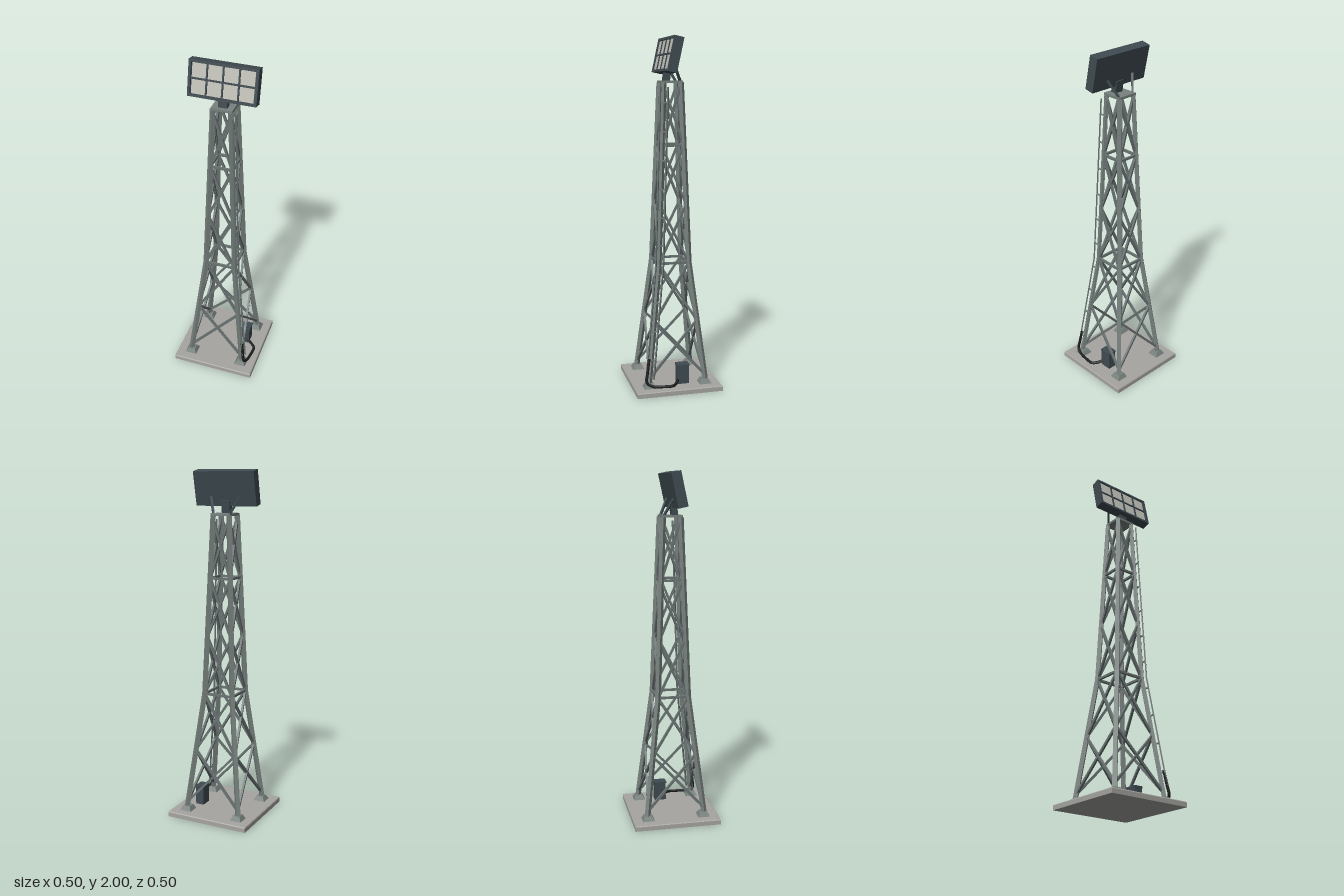
import * as THREE from 'three';

const mat = (name, color, extra = {}) => {
  const m = new THREE.MeshStandardMaterial({ color, ...extra });
  m.name = name;
  return m;
};
const V = (x, y, z) => new THREE.Vector3(x, y, z);

export function createModel() {
  const concrete = mat('concrete', 0xa6a5a1);
  const steel = mat('galvanised steel', 0x78827f);
  const braceSteel = mat('brace steel', 0x6a7373);
  const housing = mat('dark housing', 0x3f4b51);
  const lens = mat('lamp lens', 0xc2c2ba);
  const rubber = mat('black cable', 0x1b1d1e);

  const root = new THREE.Group();
  root.name = 'floodlightTower';

  const add = (name, geo, material, pos, parent = root) => {
    const m = new THREE.Mesh(geo, material);
    m.name = name;
    m.position.copy(pos);
    parent.add(m);
    return m;
  };
  const box = (name, w, h, d, material, pos, parent) =>
    add(name, new THREE.BoxGeometry(w, h, d), material, pos, parent);
  // Square bar running from a to b
  const bar = (name, a, b, w, h, material) => {
    const m = box(name, w, h, a.distanceTo(b), material, a.clone().add(b).multiplyScalar(0.5));
    m.lookAt(b);
    return m;
  };
  // Square block whose top is narrower than its foot
  const frustum = (name, bottom, top, h, material, pos) => {
    const g = new THREE.CylinderGeometry(top * Math.SQRT1_2, bottom * Math.SQRT1_2, h, 4).toNonIndexed();
    g.rotateY(Math.PI / 4);
    g.computeVertexNormals();
    return add(name, g, material, pos);
  };

  // Half width of the tower at height y
  const knee = 0.73, top = 1.75;
  const half = (y) => y < knee
    ? THREE.MathUtils.mapLinear(y, 0.05, knee, 0.167, 0.088)
    : THREE.MathUtils.mapLinear(y, knee, top, 0.088, 0.05);

  // Slab with a chamfered upper edge
  box('baseSlab', 0.5, 0.025, 0.5, concrete, V(0, 0.0125, 0));
  frustum('baseChamfer', 0.5, 0.492, 0.005, concrete, V(0, 0.0275, 0));

  // Footings and bent legs
  for (const sx of [-1, 1]) for (const sz of [-1, 1]) {
    frustum('footing', 0.07, 0.042, 0.026, steel, V(sx * 0.163, 0.043, sz * 0.163));
    const at = (y) => V(sx * half(y), y, sz * half(y));
    bar('lowerLeg', at(0.045), at(knee + 0.004), 0.024, 0.024, steel);
    bar('upperLeg', at(knee - 0.004), at(top), 0.024, 0.024, steel);
  }

  // Cross braces and horizontal ties on all four sides
  const levels = [0.08, 0.395, knee, 1.065, 1.4, 1.735];
  for (let side = 0; side < 4; side++) {
    const on = (s, y) => V(s * half(y), y, half(y)).applyAxisAngle(V(0, 1, 0), side * Math.PI / 2);
    for (let i = 0; i < levels.length - 1; i++) {
      for (const s of [-1, 1]) {
        bar('crossBrace', on(s, levels[i]), on(-s, levels[i + 1]), 0.013, 0.013, braceSteel);
      }
    }
    for (const y of [knee, 1.4]) bar('horizontalTie', on(-1, y), on(1, y), 0.013, 0.013, braceSteel);
  }

  // Ladder outside the front left leg
  const rail = (y, s) => V(half(y) + 0.018, y, half(y) + s * 0.022);
  for (const s of [-1, 1]) {
    bar('ladderRail', rail(0.08, s), rail(knee, s), 0.008, 0.008, braceSteel);
    bar('ladderRail', rail(knee, s), rail(1.725, s), 0.008, 0.008, braceSteel);
  }
  for (let i = 0; i < 10; i++) {
    const y = 0.19 + i * 0.161;
    bar('ladderRung', rail(y, -1), rail(y, 1), 0.007, 0.007, steel);
  }

  // Top platform, post and rear stays
  box('topPlatform', 0.12, 0.014, 0.12, steel, V(0, 1.754, 0));
  bar('lampPost', V(0, 1.755, 0.025), V(0, 1.83, 0.014), 0.05, 0.035, housing);
  for (const s of [-1, 1]) {
    bar('rearStay', V(s * 0.05, 1.757, -0.045), V(s * 0.09, 1.85, 0.0), 0.012, 0.012, housing);
  }

  // Tilted lamp bank, built facing +z
  const lamp = new THREE.Group();
  lamp.name = 'lampBank';
  lamp.position.set(0, 1.899, 0.0155);
  lamp.rotation.x = -0.215;
  root.add(lamp);
  const W = 0.374, H = 0.194, D = 0.055;
  box('lampHousing', W, H, D - 0.012, housing, V(0, 0, -0.006), lamp);
  const rimZ = D / 2 - 0.006;
  for (const s of [-1, 1]) {
    box('lampRim', W, 0.014, 0.012, housing, V(0, s * (H / 2 - 0.007), rimZ), lamp);
    box('lampRim', 0.014, H - 0.028, 0.012, housing, V(s * (W / 2 - 0.007), 0, rimZ), lamp);
  }
  for (const x of [-0.0865, 0, 0.0865]) {
    box('lampDivider', 0.009, H - 0.028, 0.01, housing, V(x, 0, rimZ - 0.001), lamp);
  }
  box('lampDivider', W - 0.028, 0.009, 0.01, housing, V(0, 0, rimZ - 0.001), lamp);
  for (let c = 0; c < 4; c++) for (const s of [-1, 1]) {
    box('lampLens', 0.077, 0.077, 0.005, lens, V((c - 1.5) * 0.0865, s * 0.0435, D / 2 - 0.0098), lamp);
  }

  // Control box with a lid
  box('controlBox', 0.05, 0.105, 0.068, housing, V(0.135, 0.0825, -0.038));
  box('controlBoxLid', 0.056, 0.01, 0.074, housing, V(0.135, 0.14, -0.038));

  // Cable from the control box across the slab and up the leg
  const path = new THREE.CatmullRomCurve3([
    V(0.15, 0.055, -0.01), V(0.185, 0.045, 0.012), V(0.207, 0.041, 0.035), V(0.206, 0.041, 0.09),
    V(0.197, 0.044, 0.15), V(0.187, 0.065, 0.183), V(0.178, 0.12, 0.178), V(0.168, 0.2, 0.166),
  ]);
  add('powerCable', new THREE.TubeGeometry(path, 36, 0.0085, 8), rubber, V(0, 0, 0));

  return root;
}
